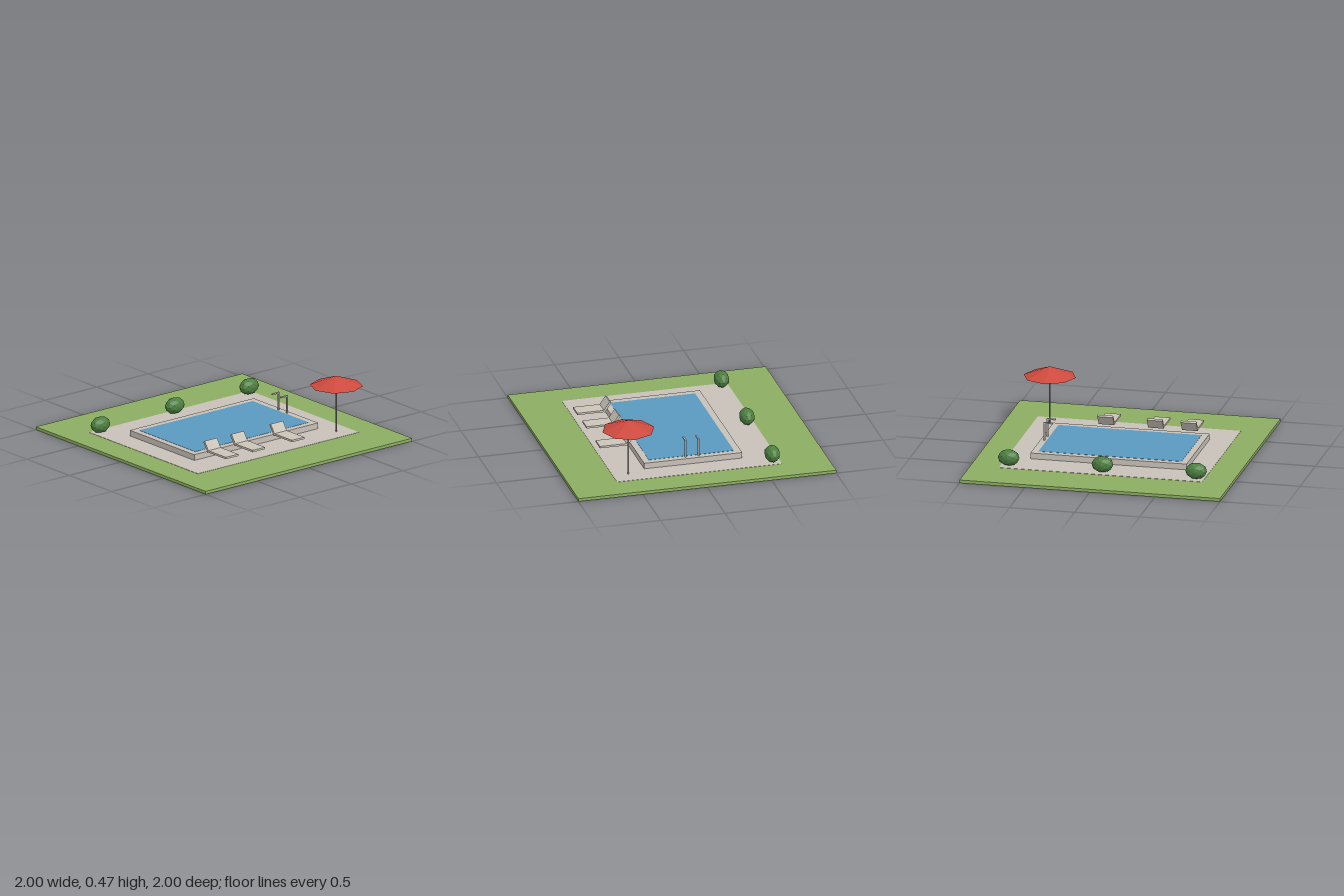
import * as THREE from 'three';

const material = (name, color, flat = false) => {
  const m = new THREE.MeshStandardMaterial({ color, flatShading: flat });
  m.name = name;
  return m;
};

export function createModel() {
  const root = new THREE.Group();
  root.name = 'poolGarden';

  const grass = material('grass green', 0x8cae62);
  const stone = material('pale stone', 0xc8c1b8);
  const water = material('pool blue', 0x5a98c0);
  const fabric = material('lounger cream', 0xcac4b8);
  const metal = material('rail metal', 0xc8c2ba);
  const poleGrey = material('pole grey', 0x8e8886);
  const red = material('parasol red', 0xcd4a3e, true);
  const leaf = material('shrub green', 0x4c7f40, true);

  const add = (parent, name, geometry, mat, x, y, z) => {
    const mesh = new THREE.Mesh(geometry, mat);
    mesh.name = name;
    mesh.position.set(x, y, z);
    parent.add(mesh);
    return mesh;
  };
  const box = (parent, name, mat, w, h, d, x, y, z) =>
    add(parent, name, new THREE.BoxGeometry(w, h, d), mat, x, y, z);
  const group = (name, x, y, z) => {
    const g = new THREE.Group();
    g.name = name;
    g.position.set(x, y, z);
    root.add(g);
    return g;
  };

  // Lawn slab, paved terrace, raised pool and its water
  box(root, 'lawn', grass, 2, 0.024, 2, 0, 0.012, 0);
  box(root, 'terrace', stone, 1.56, 0.006, 1.28, 0, 0.023, 0);
  box(root, 'poolRim', stone, 1.2, 0.046, 0.76, 0, 0.048, 0);
  box(root, 'poolWater', water, 1.1, 0.004, 0.66, 0, 0.0705, 0);

  // Sun loungers with tilted backs
  for (const x of [-0.44, -0.18, 0.2]) {
    const lounger = group('sunLounger', x, 0, 0);
    box(lounger, 'seat', fabric, 0.12, 0.015, 0.21, 0, 0.086, 0.525);
    const back = box(lounger, 'backrest', fabric, 0.12, 0.09, 0.018, 0, 0.116, 0.398);
    back.rotation.x = -0.6;
  }

  // Ladder handrails
  for (const z of [-0.05, 0.05]) {
    const rail = group('handrail', 0, 0, z);
    box(rail, 'railPost', metal, 0.012, 0.14, 0.012, 0.568, 0.14, 0);
    box(rail, 'railArm', metal, 0.07, 0.01, 0.012, 0.54, 0.206, 0);
  }

  // Parasol
  const parasol = group('parasol', 0.66, 0, 0.52);
  add(parasol, 'pole', new THREE.CylinderGeometry(0.007, 0.007, 0.39, 8), poleGrey, 0, 0.219, 0);
  add(parasol, 'canopy', new THREE.ConeGeometry(0.2, 0.076, 8), red, 0, 0.427, 0);

  // Faceted shrubs along the back
  for (const x of [-0.72, 0, 0.72]) {
    const shrub = add(root, 'shrub', new THREE.IcosahedronGeometry(1, 1), leaf, x, 0.09, -0.58);
    shrub.scale.set(0.083, 0.063, 0.058);
  }

  return root;
}
